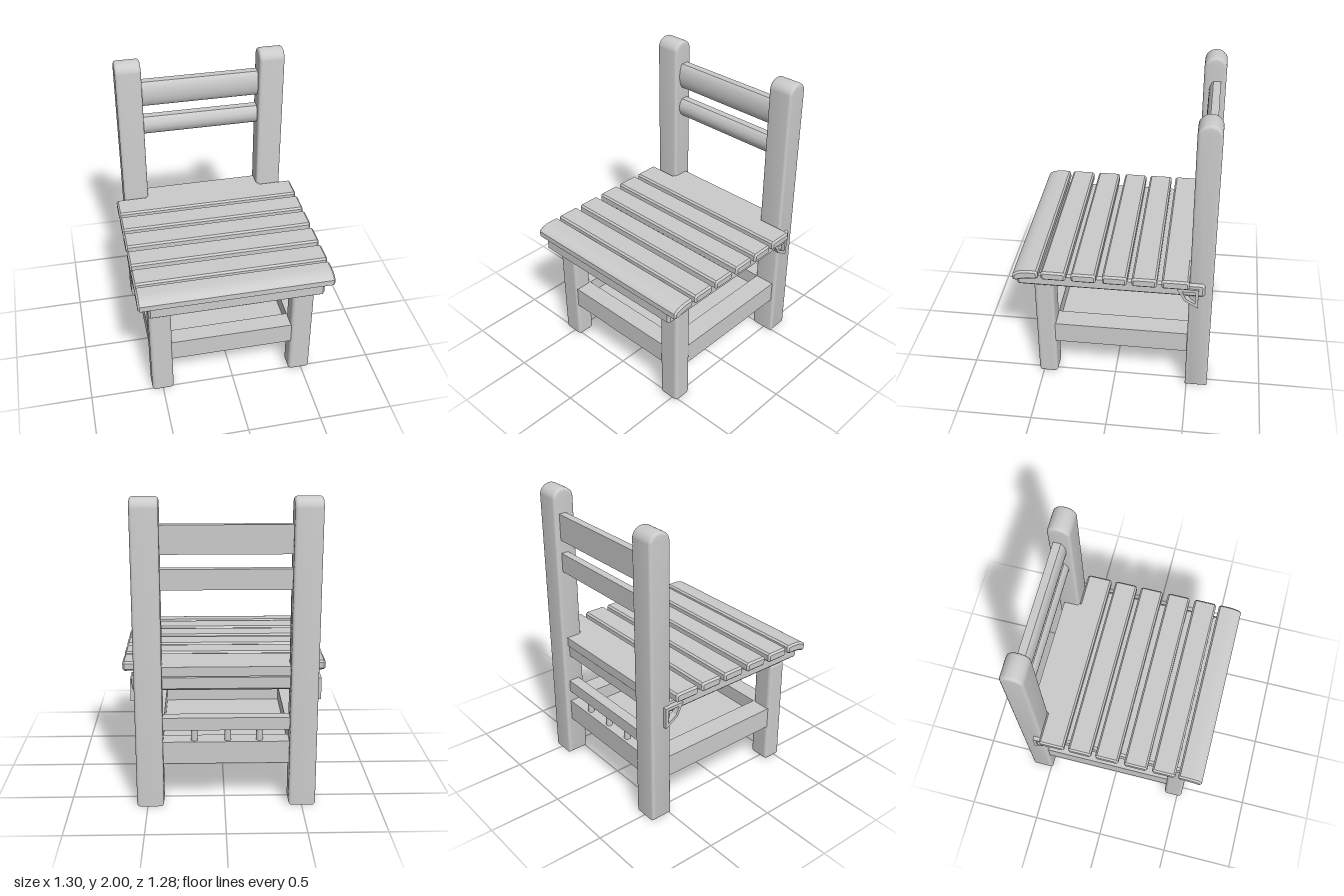
import * as THREE from 'three';
import { toCreasedNormals } from 'three/addons/utils/BufferGeometryUtils.js';
import { RoundedBoxGeometry } from 'three/addons/geometries/RoundedBoxGeometry.js';

export function createModel() {
  const group = new THREE.Group();
  group.name = 'chair';
  const material = new THREE.MeshStandardMaterial({ color: 0xcccccc });
  const CX = -0.01; // legs and back sit slightly off the seat centre

  function add(name, geometry, x = 0, y = 0, z = 0) {
    const mesh = new THREE.Mesh(geometry, material);
    mesh.name = name;
    mesh.position.set(x, y, z);
    group.add(mesh);
    return mesh;
  }

  // Box given by its limits
  function block(name, x0, x1, y0, y1, z0, z1) {
    add(name, new THREE.BoxGeometry(x1 - x0, y1 - y0, z1 - z0), (x0 + x1) / 2, (y0 + y1) / 2, (z0 + z1) / 2);
  }

  // Side profile (z, y) extruded across x; the bevel grows the profile outwards
  function extrudeX(name, shape, x0, x1, bevel = 0, segments = 1, crease = 0.3) {
    const depth = x1 - x0 - 2 * bevel;
    const geo = new THREE.ExtrudeGeometry(shape, {
      depth, bevelEnabled: bevel > 0, bevelThickness: bevel, bevelSize: bevel,
      bevelSegments: segments, curveSegments: 14,
    });
    geo.translate(0, 0, -depth / 2);
    geo.rotateY(-Math.PI / 2);
    add(name, toCreasedNormals(geo, crease), (x0 + x1) / 2, 0, 0);
  }

  const polygon = (pts) => new THREE.Shape(pts.map(([z, y]) => new THREE.Vector2(z, y)));

  // Rectangle with cut corners, shrunk by the bevel that is added later
  function cutRect(z0, z1, y0, y1, cut, bevel) {
    const a = z0 + bevel, b = z1 - bevel, c = y0 + bevel, d = y1 - bevel;
    return polygon([[a + cut, c], [b - cut, c], [b, c + cut], [b, d - cut], [b - cut, d], [a + cut, d], [a, d - cut], [a, c + cut]]);
  }

  for (const s of [-1, 1]) {
    const side = s > 0 ? 'left' : 'right';

    // Back post with arched top
    const post = new THREE.Shape();
    post.moveTo(-0.62, 0.02);
    post.lineTo(-0.51, 0.02);
    post.lineTo(-0.51, 1.93);
    post.absellipse(-0.565, 1.93, 0.055, 0.05, 0, Math.PI, false);
    post.lineTo(-0.62, 0.02);
    const px = CX + s * 0.4925;
    extrudeX(side + 'BackPost', post, px - 0.0875, px + 0.0875, 0.02, 4, 0.6);

    // Front leg
    add(side + 'FrontLeg', new RoundedBoxGeometry(0.15, 0.78, 0.13, 4, 0.025), CX + s * 0.49, 0.395, 0.465);

    // Lower side rail
    const rx = CX + s * 0.485;
    block(side + 'LowerRail', rx - 0.07, rx + 0.07, 0.285, 0.435, -0.5, 0.42);

    // Triangular bracket under the seat
    const bracket = polygon([[-0.41, 0.845], [-0.55, 0.845], [-0.55, 0.7], [-0.46, 0.755]]);
    bracket.holes.push(new THREE.Path([[-0.445, 0.825], [-0.47, 0.772], [-0.53, 0.735], [-0.53, 0.825]]
      .map(([z, y]) => new THREE.Vector2(z, y))));
    const bx = CX + s * 0.585;
    extrudeX(side + 'Bracket', bracket, bx - 0.022, bx + 0.022);
  }

  // Lower frame: front and back rails with a recessed floor
  const xl = CX - 0.42, xr = CX + 0.42;
  block('frontLowerRail', xl, xr, 0.285, 0.435, 0.4, 0.52);
  block('backLowerRail', xl, xr, 0.285, 0.435, -0.605, -0.49);
  block('lowerFloor', xl, xr, 0.295, 0.335, -0.5, 0.41);

  // Upper cross rail and its spindles
  block('backCrossRail', xl, xr, 0.515, 0.6, -0.605, -0.53);
  for (const x of [-0.225, -0.02, 0.195])
    add('spindle', new THREE.CylinderGeometry(0.022, 0.022, 0.1, 16), x, 0.475, -0.567);

  // Backrest rails: flat behind, bowed in front
  for (const [y0, y1] of [[1.655, 1.835], [1.435, 1.565]]) {
    const rail = new THREE.Shape();
    rail.moveTo(-0.605, y0);
    rail.lineTo(-0.555, y0);
    rail.bezierCurveTo(-0.518, y0 + 0.035, -0.518, y1 - 0.035, -0.555, y1);
    rail.lineTo(-0.605, y1);
    extrudeX('backrestRail', rail, xl, xr);
  }

  // Seat base
  extrudeX('seatBase', cutRect(-0.59, 0.635, 0.78, 0.88, 0.005, 0.015), -0.585, 0.585, 0.015);

  // Seat slats with chamfered edges
  for (const z of [0.38, 0.185, -0.015, -0.205])
    extrudeX('seatSlat', cutRect(z - 0.08, z + 0.08, 0.877, 0.94, 0.005, 0.012), -0.65, 0.65, 0.012);
  extrudeX('backSlat', cutRect(-0.49, -0.315, 0.877, 0.94, 0.005, 0.012), -0.65, 0.65, 0.012);
  block('backSlatTongue', xl, xr, 0.877, 0.94, -0.6, -0.47);

  // Front slat curving down over the edge
  const nose = new THREE.Shape();
  nose.moveTo(0.492, 0.895);
  nose.lineTo(0.492, 0.923);
  nose.lineTo(0.497, 0.928);
  nose.lineTo(0.55, 0.928);
  nose.quadraticCurveTo(0.61, 0.925, 0.632, 0.9);
  nose.lineTo(0.632, 0.875);
  nose.lineTo(0.622, 0.872);
  nose.quadraticCurveTo(0.58, 0.89, 0.5, 0.89);
  extrudeX('frontSlat', nose, -0.65, 0.65, 0.012);

  return group;
}
